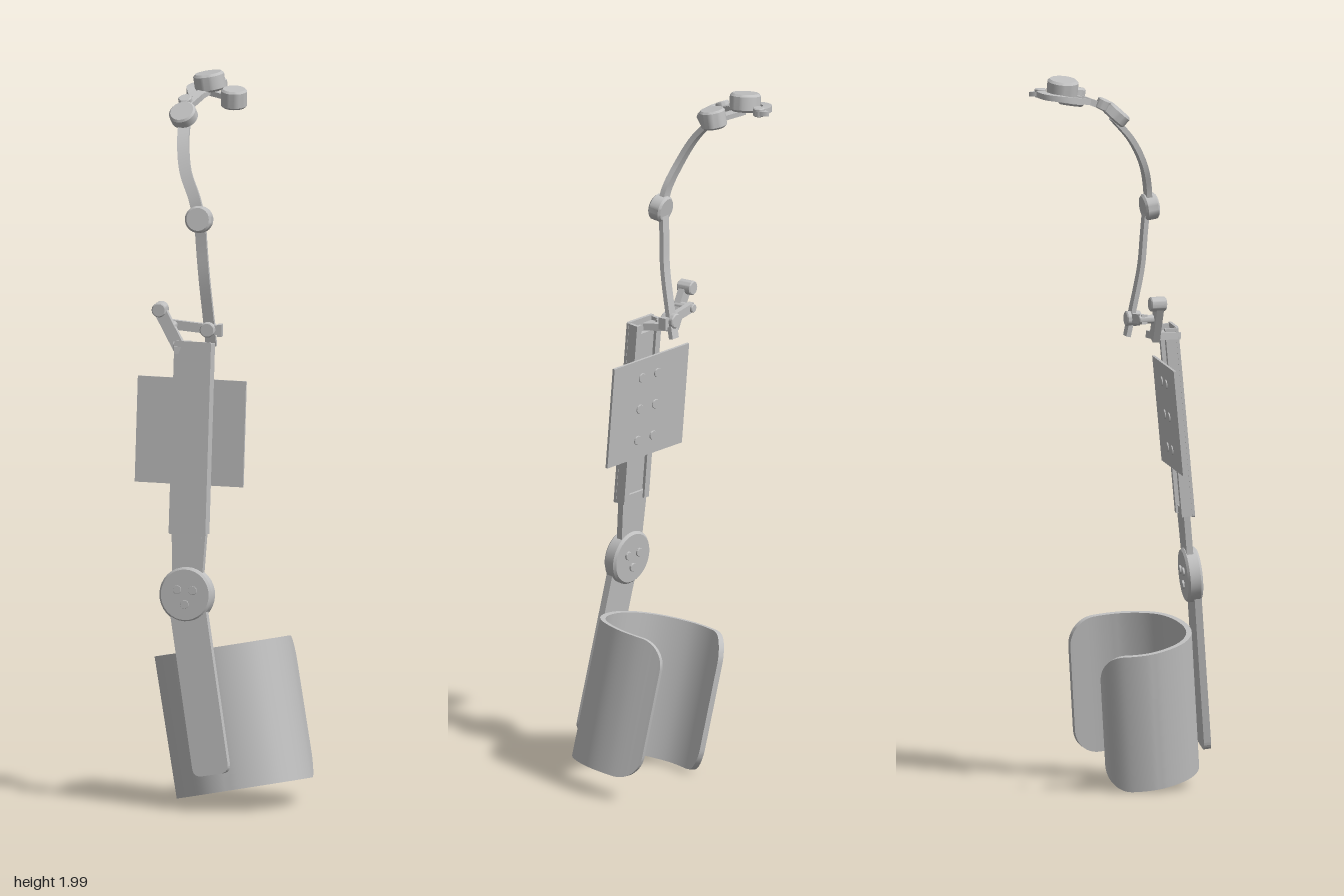
import * as THREE from 'three';
import { toCreasedNormals } from 'three/addons/utils/BufferGeometryUtils.js';

const V = (x, y, z) => new THREE.Vector3(x, y, z);
const grey = new THREE.MeshStandardMaterial({ color: 0xc0c0c0 });
grey.name = 'light grey metal';

function add(parent, name, geometry, pos = [0, 0, 0]) {
  const mesh = new THREE.Mesh(geometry, grey);
  mesh.name = name;
  mesh.position.set(...pos);
  parent.add(mesh);
  return mesh;
}

// Rectangular band swept along a curve; widthAt(distance to nearest end) gives its width
function band(points, side, widthAt, thick, steps = 24) {
  const curve = new THREE.CatmullRomCurve3(points.map(p => V(...p)));
  const length = curve.getLength(), pos = [], idx = [];
  for (let i = 0; i <= steps; i++) {
    const u = 0.5 - 0.5 * Math.cos(Math.PI * i / steps);
    const p = curve.getPointAt(u), t = curve.getTangentAt(u);
    const s = side.clone().addScaledVector(t, -side.dot(t)).normalize();
    const n = t.clone().cross(s);
    const w = widthAt(Math.min(u, 1 - u) * length) / 2;
    for (const [a, b] of [[1, 1], [-1, 1], [-1, -1], [1, -1]]) {
      pos.push(...p.clone().addScaledVector(s, a * w).addScaledVector(n, b * thick / 2).toArray());
    }
  }
  for (let i = 0; i < steps; i++) {
    for (let j = 0; j < 4; j++) {
      const a = i * 4 + j, b = i * 4 + (j + 1) % 4;
      idx.push(a, b, b + 4, a, b + 4, a + 4);
    }
  }
  const e = steps * 4;
  idx.push(0, 2, 1, 0, 3, 2, e, e + 1, e + 2, e, e + 2, e + 3);
  const g = new THREE.BufferGeometry();
  g.setAttribute('position', new THREE.Float32BufferAttribute(pos, 3));
  g.setIndex(idx);
  return toCreasedNormals(g, 0.6);
}

// Chamfered drum with its axis in any direction
function drum(parent, name, pos, axis, r, h) {
  const c = Math.min(r, h) * 0.15;
  const profile = [[0, -h / 2], [r - c, -h / 2], [r, -h / 2 + c], [r, h / 2 - c], [r - c, h / 2], [0, h / 2]];
  const g = new THREE.LatheGeometry(profile.map(p => new THREE.Vector2(...p)), 32);
  const mesh = add(parent, name, toCreasedNormals(g, 0.5), pos);
  mesh.quaternion.setFromUnitVectors(V(0, 1, 0), V(...axis).normalize());
  return mesh;
}

// Flat bar in the xy plane, w0 wide at y0 and w1 at y1, corners rounded by r
function flatBar(w0, w1, y0, y1, r, depth) {
  const a = w0 / 2, b = w1 / 2, s = new THREE.Shape();
  s.moveTo(-a + r, y0);
  s.lineTo(a - r, y0);
  s.quadraticCurveTo(a, y0, a, y0 + r);
  s.lineTo(b, y1 - r);
  s.quadraticCurveTo(b, y1, b - r, y1);
  s.lineTo(-b + r, y1);
  s.quadraticCurveTo(-b, y1, -b, y1 - r);
  s.lineTo(-a, y0 + r);
  s.quadraticCurveTo(-a, y0, -a + r, y0);
  const g = new THREE.ExtrudeGeometry(s, { depth, bevelEnabled: false, curveSegments: 6 });
  return g.translate(0, 0, -depth / 2);
}

function section(parent, name, pos, rot) {
  const g = new THREE.Group();
  g.name = name;
  g.position.set(...pos);
  g.rotation.set(...rot, 'YXZ');
  parent.add(g);
  return g;
}

// Straight link between two points
function link(parent, name, a, b, side, w, t) {
  const mid = a.map((v, i) => (v + b[i]) / 2);
  return add(parent, name, band([a, mid, b], side, () => w, t, 4));
}

export function createModel() {
  const model = new THREE.Group();
  model.name = 'armBrace';
  const X = V(1, 0, 0), Y = V(0, 1, 0), Z = V(0, 0, 1);

  // Open cuff with rounded wing corners
  const cuff = section(model, 'cuffGroup', [0.053, 0.05, 0.095], [0, 0, 0]);
  cuff.quaternion.setFromUnitVectors(Y, V(-0.0725, 0.3875, -0.045).normalize());
  const outline = [[0.172, -0.13], [0.18, -0.03], [0.165, 0.045], [0.118, 0.115], [0.04, 0.148],
    [-0.06, 0.144], [-0.135, 0.095], [-0.178, 0], [-0.166, -0.08], [-0.125, -0.135]];
  const corner = 0.075;
  const cuffHeight = d => {
    const k = Math.max(0, corner - d);
    return 0.395 - 2 * (corner - Math.sqrt(corner * corner - k * k));
  };
  add(cuff, 'cuff', band(outline.map(([x, z]) => [x, 0.197, z]), Y, cuffHeight, 0.015, 72));
  for (const x of [-0.07, -0.01]) {
    for (const y of [0.08, 0.19, 0.3]) drum(cuff, 'cuffScrew', [x, y, 0.136], [0, 0, -1], 0.014, 0.012);
  }

  // Lower bar
  const lower = section(model, 'lowerArm', [-0.078, 0.6, 0.2], [-0.1, -0.12, 0.185]);
  add(lower, 'lowerBar', flatBar(0.104, 0.104, -0.5, 0.02, 0.025, 0.02), [0, 0, 0.006]);

  // Elbow pivot, rail, sleeve and back plate
  const upper = section(model, 'upperArm', [-0.078, 0.6, 0.197], [-0.09, -0.125, 0]);
  drum(upper, 'elbowDisc', [0, 0, 0.002], [0, 0, 1], 0.076, 0.042);
  for (let i = 0; i < 3; i++) {
    const a = Math.PI / 6 + i * Math.PI * 2 / 3;
    for (const s of [1, -1]) {
      drum(upper, 'elbowScrew', [0.026 * Math.cos(a), 0.026 * Math.sin(a), s * 0.022], [0, 0, s], 0.012, 0.006);
    }
  }
  add(upper, 'neck', flatBar(0.082, 0.1, 0, 0.19, 0.005, 0.018), [0, 0, -0.002]);
  add(upper, 'rail', flatBar(0.076, 0.076, 0.15, 0.66, 0.01, 0.012), [0, 0, 0.002]);
  add(upper, 'sleeveFace', flatBar(0.107, 0.107, 0.165, 0.697, 0.006, 0.008), [0, 0, 0.016]);
  for (const s of [1, -1]) {
    add(upper, 'sleeveSide', new THREE.BoxGeometry(0.01, 0.525, 0.032), [s * 0.0475, 0.431, -0.001]);
    add(upper, 'sleeveLip', new THREE.BoxGeometry(0.02, 0.525, 0.006), [s * 0.0425, 0.431, -0.014]);
  }
  add(upper, 'backPlate', new THREE.BoxGeometry(0.315, 0.292, 0.007), [-0.012, 0.447, -0.021]);
  for (const x of [-0.04, 0.025]) {
    for (const y of [0.355, 0.447, 0.539]) drum(upper, 'plateScrew', [x, y, -0.025], [0, 0, -1], 0.013, 0.006);
  }

  // Wrist bracket and its short links
  const wrist = section(model, 'wristJoint', [0, 0, 0], [0, 0, 0]);
  link(wrist, 'bracketArm', [-0.1, 1.27, 0.15], [-0.12, 1.275, 0.07], X, 0.05, 0.02);
  link(wrist, 'slantLink', [-0.125, 1.265, 0.08], [-0.182, 1.37, 0.075], Z, 0.02, 0.034);
  drum(wrist, 'slantKnob', [-0.182, 1.37, 0.07], [0, 0, 1], 0.02, 0.045);
  link(wrist, 'crossLink', [-0.16, 1.325, 0.04], [-0.02, 1.312, 0.04], Z, 0.016, 0.026);
  drum(wrist, 'crossPin', [-0.15, 1.324, 0.055], [0, 0, 1], 0.012, 0.06);
  drum(wrist, 'crossKnob', [-0.053, 1.314, 0.04], [0, 0, 1], 0.021, 0.042);
  add(wrist, 'endTab', new THREE.BoxGeometry(0.012, 0.034, 0.022), [-0.02, 1.312, 0.042]);

  // Slender finger links and knuckle drums
  const finger = section(model, 'fingerChain', [0, 0, 0], [0, 0, 0]);
  add(finger, 'firstLink', band([[-0.048, 1.265, 0.025], [-0.052, 1.34, 0.04], [-0.06, 1.46, 0.062],
    [-0.066, 1.55, 0.068], [-0.07, 1.64, 0.075]], X, () => 0.03, 0.013));
  drum(finger, 'firstKnuckle', [-0.07, 1.625, 0.083], [0, 0.15, 1], 0.037, 0.04);
  add(finger, 'secondLink', band([[-0.072, 1.63, 0.078], [-0.085, 1.68, 0.072], [-0.115, 1.75, 0.05],
    [-0.13, 1.82, 0.012], [-0.138, 1.885, -0.045]], X, () => 0.032, 0.015));
  drum(finger, 'secondKnuckle', [-0.14, 1.895, -0.036], [-0.15, 0.75, 0.65], 0.038, 0.035);
  drum(finger, 'smallPivot', [-0.142, 1.925, -0.075], [-0.1, 0.9, 0.4], 0.019, 0.03);
  link(finger, 'pivotLink', [-0.145, 1.91, -0.05], [-0.115, 1.94, -0.13], X, 0.034, 0.018);

  // Hooked arm around the fingertip drums
  add(finger, 'hook', band([[-0.125, 1.93, -0.1], [-0.14, 1.937, -0.145], [-0.151, 1.945, -0.19],
    [-0.133, 1.95, -0.227], [-0.105, 1.953, -0.238], [-0.075, 1.955, -0.235]], Y, () => 0.016, 0.024));
  drum(finger, 'hookEye', [-0.077, 1.955, -0.235], [0, 1, 0], 0.016, 0.024);
  const tip = add(finger, 'hookTip', new THREE.CylinderGeometry(0.02, 0.02, 0.012, 3), [-0.078, 1.953, -0.248]);
  tip.rotation.y = Math.PI;
  drum(finger, 'topDrum', [-0.097, 1.968, -0.177], [-0.15, 1, 0.05], 0.043, 0.05);
  link(finger, 'drumLink', [-0.1, 1.94, -0.17], [-0.02, 1.93, -0.13], Z, 0.025, 0.014);
  link(finger, 'drumStrut', [-0.118, 1.935, -0.115], [-0.1, 1.945, -0.16], X, 0.03, 0.014);
  drum(finger, 'sideDrum', [-0.017, 1.933, -0.124], [0.05, 1, 0.15], 0.036, 0.052);

  return model;
}
